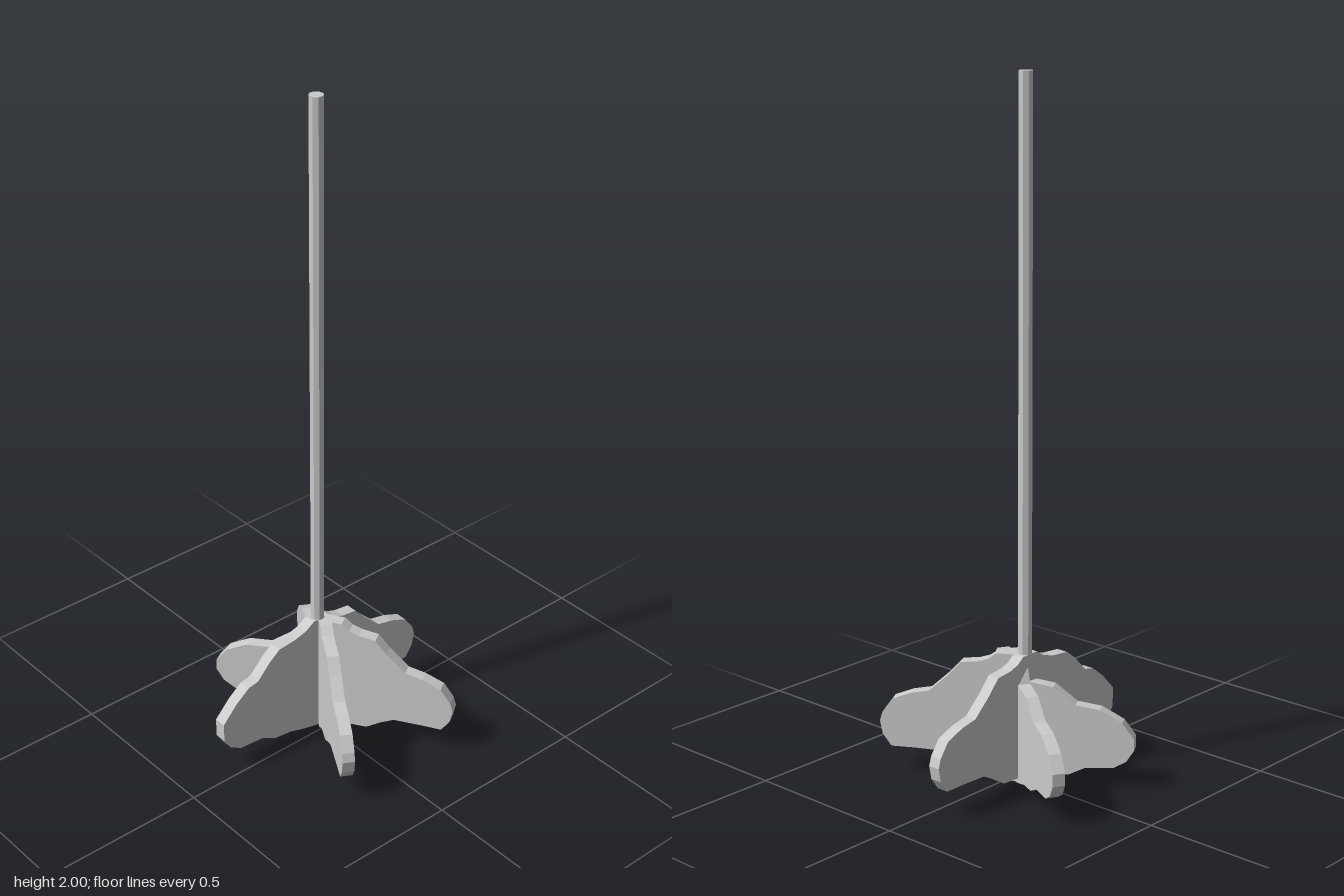
import * as THREE from 'three';

const material = new THREE.MeshStandardMaterial({ color: 0xcccccc, flatShading: true });
const THICKNESS = 0.036;

// Scalloped lobe shared by every plate, listed from the top centre round to the foot
const fullLobe = [
  [0.027, 0.384], [0.05, 0.366], [0.08, 0.356], [0.13, 0.35], [0.165, 0.31],
  [0.222, 0.257], [0.275, 0.246], [0.33, 0.224], [0.36, 0.182], [0.368, 0.155],
  [0.36, 0.115], [0.335, 0.08], [0.27, 0.08], [0.19, 0.078], [0.15, 0.058],
  [0.106, 0.03], [0.05, 0.028], [0.01, 0.003],
];

// Opposite lobes: lower shoulder on the diagonals, broad one on the middle plate
const lowerEdge = [
  [-0.02, 0.003], [-0.076, 0.016], [-0.12, 0.03], [-0.18, 0.037],
  [-0.229, 0.062], [-0.308, 0.068], [-0.345, 0.09], [-0.367, 0.125],
];
const lowShoulder = [
  [-0.366, 0.16], [-0.333, 0.204], [-0.27, 0.238], [-0.2, 0.247],
  [-0.137, 0.296], [-0.064, 0.307], [-0.045, 0.35], [-0.03, 0.384],
];
const broadShoulder = [
  [-0.368, 0.182], [-0.32, 0.233], [-0.275, 0.268], [-0.24, 0.275], [-0.195, 0.322],
  [-0.16, 0.349], [-0.1, 0.355], [-0.06, 0.366], [-0.03, 0.386],
];

function plate(name, shoulder, x, z, degrees) {
  const outline = [...fullLobe, ...lowerEdge, ...shoulder].map(([s, y]) => new THREE.Vector2(s, y));
  const geometry = new THREE.ExtrudeGeometry(new THREE.Shape(outline), {
    depth: THICKNESS, bevelEnabled: false,
  });
  geometry.translate(0, 0, -THICKNESS / 2);
  const mesh = new THREE.Mesh(geometry, material);
  mesh.name = name;
  mesh.position.set(x, 0, z);
  mesh.rotation.y = THREE.MathUtils.degToRad(degrees);
  return mesh;
}

export function createModel() {
  const model = new THREE.Group();
  model.name = 'scallopedBasePole';

  // Three crossing plates at sixty degree steps
  model.add(
    plate('middlePlate', broadShoulder, -0.04, 0, 90),
    plate('diagonalPlateA', lowShoulder, -0.01, 0, -30),
    plate('diagonalPlateB', lowShoulder, 0.005, -0.025, 30),
  );

  // Slim eight-sided pole standing on the crossing
  const bottom = 0.34;
  const pole = new THREE.Mesh(new THREE.CylinderGeometry(0.0205, 0.0205, 2 - bottom, 8), material);
  pole.name = 'pole';
  pole.position.set(-0.038, (2 + bottom) / 2, 0.003);
  pole.rotation.y = Math.PI / 8;
  model.add(pole);

  return model;
}
